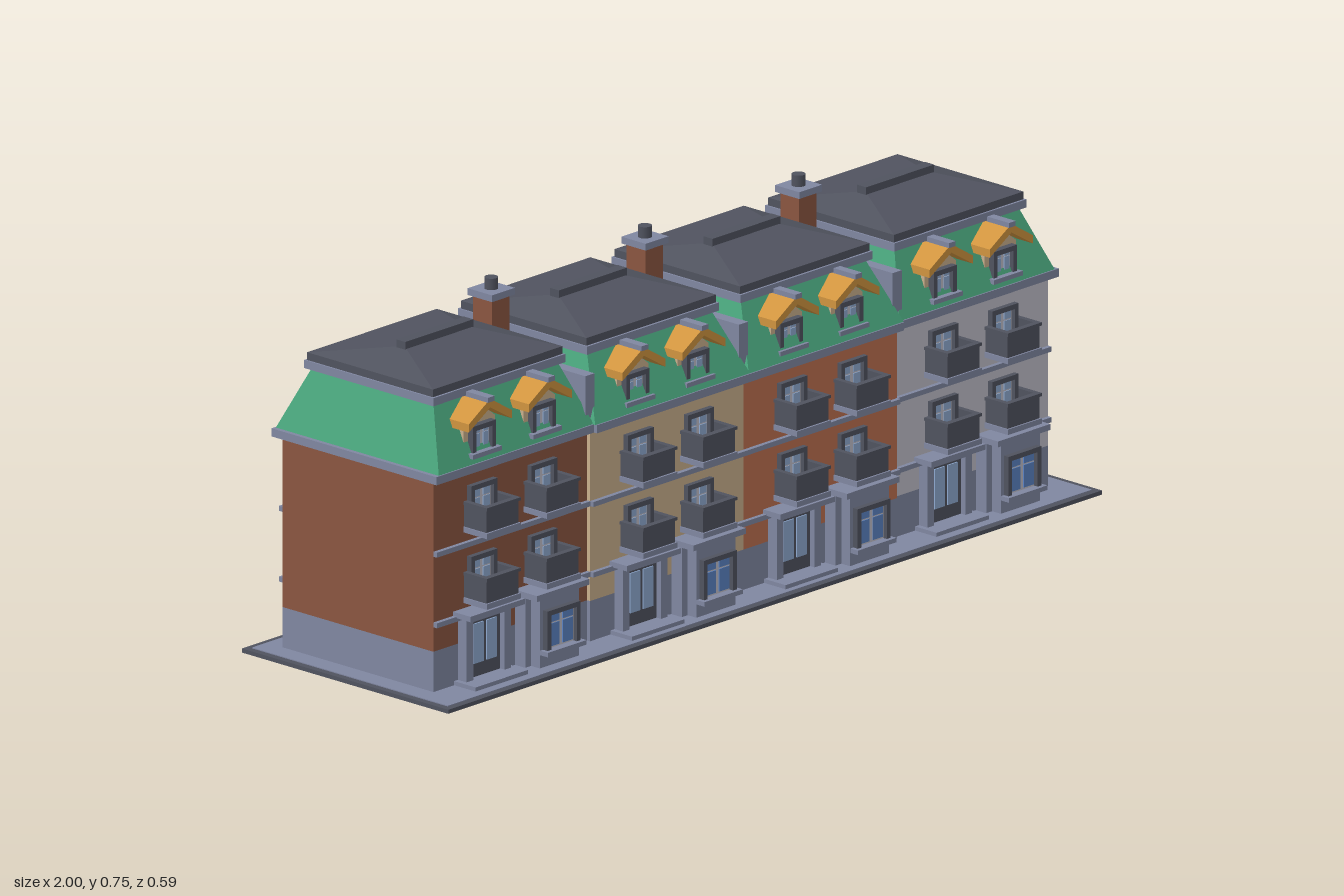
import * as THREE from 'three';

const mat = (name, color) => {
  const m = new THREE.MeshStandardMaterial({ color });
  m.name = name;
  return m;
};

export function createModel() {
  const slate = mat('slate stone', 0x8087a1);
  const dark = mat('dark grey', 0x50535f);
  const green = mat('copper green', 0x49a57c);
  const brown = mat('brown brick', 0x8b5641);
  const beige = mat('beige plaster', 0xcab08d);
  const brick = mat('orange brick', 0xbd6f50);
  const pale = mat('pale grey', 0xc0bfca);
  const wood = mat('orange wood', 0xd0943f);
  const glass = mat('light glass', 0x8ea9d0);
  const blue = mat('blue glass', 0x5a83c4);

  const model = new THREE.Group();
  model.name = 'terrace';

  const add = (parent, name, geometry, material) => {
    const mesh = new THREE.Mesh(geometry, material);
    mesh.name = name;
    parent.add(mesh);
    return mesh;
  };
  const group = (parent, name, x = 0, y = 0, z = 0) => {
    const g = new THREE.Group();
    g.name = name;
    g.position.set(x, y, z);
    parent.add(g);
    return g;
  };
  // Box given by its limits on each axis
  const box = (parent, name, material, x0, x1, y0, y1, z0, z1) => {
    const mesh = add(parent, name, new THREE.BoxGeometry(x1 - x0, y1 - y0, z1 - z0), material);
    mesh.position.set((x0 + x1) / 2, (y0 + y1) / 2, (z0 + z1) / 2);
    return mesh;
  };
  // Box whose top face shrinks to the half sizes tx, tz
  const taper = (parent, name, material, bx, bz, tx, tz, y0, y1) => {
    const geo = new THREE.BoxGeometry(2 * bx, y1 - y0, 2 * bz);
    const p = geo.attributes.position;
    for (let i = 0; i < p.count; i++) {
      if (p.getY(i) > 0) p.setXYZ(i, Math.sign(p.getX(i)) * tx, p.getY(i), Math.sign(p.getZ(i)) * tz);
    }
    geo.computeVertexNormals();
    const mesh = add(parent, name, geo, material);
    mesh.position.y = (y0 + y1) / 2;
    return mesh;
  };

  // Two-pane window standing on local z = 0 and facing +z
  const makeWindow = (parent, name, x, y, z, w, h, pane, sill = true) => {
    const g = group(parent, name, x, y, z);
    const b = 0.011;
    box(g, 'surroundHead', dark, -w / 2, w / 2, h - b, h, -0.004, 0.012);
    box(g, 'frame', pale, -w / 2 + b, w / 2 - b, 0, h - b, -0.004, 0.002);
    for (const s of [-1, 1]) {
      const e = s * (w / 2 - b / 2);
      box(g, 'surroundSide', dark, e - b / 2, e + b / 2, 0, h - b, -0.004, 0.012);
      const c = s * (w / 4 - b / 2 + 0.001);
      const pw = w / 4 - b / 2 - 0.004;
      box(g, 'lowerPane', pane, c - pw, c + pw, 0.004, h * 0.62, 0, 0.004);
      box(g, 'upperPane', pane, c - pw, c + pw, h * 0.66, h - b - 0.003, 0, 0.004);
    }
    if (sill) box(g, 'sill', slate, -w / 2 - 0.009, w / 2 + 0.009, -0.01, 0, -0.004, 0.021);
    return g;
  };

  // Balcony with solid front and side panels
  const makeBalcony = (parent, x, y, z) => {
    const g = group(parent, 'balcony', x, y, z);
    box(g, 'slab', slate, -0.052, 0.052, 0, 0.012, -0.004, 0.068);
    box(g, 'frontPanel', dark, -0.049, 0.049, 0.012, 0.061, 0.056, 0.064);
    box(g, 'frontRail', dark, -0.052, 0.052, 0.061, 0.068, 0.054, 0.068);
    for (const s of [-1, 1]) {
      box(g, 'sidePanel', dark, s * 0.045 - 0.004, s * 0.045 + 0.004, 0.012, 0.061, 0, 0.056);
      box(g, 'sideRail', dark, s * 0.046 - 0.006, s * 0.046 + 0.006, 0.061, 0.068, 0, 0.054);
    }
  };

  // Entrance with steps, glazed double door and canopy
  const makeDoor = (parent, x, z) => {
    const g = group(parent, 'entrance', x, 0, z);
    box(g, 'step', slate, -0.08, 0.08, 0.008, 0.02, -0.004, 0.062);
    box(g, 'doorLeaf', dark, -0.05, 0.05, 0.02, 0.148, -0.004, 0.012);
    for (const s of [-1, 1]) {
      box(g, 'doorGlass', glass, s * 0.02 - 0.015, s * 0.02 + 0.015, 0.05, 0.138, 0.011, 0.015);
      box(g, 'pilaster', slate, s * 0.058 - 0.01, s * 0.058 + 0.01, 0.018, 0.158, -0.004, 0.025);
    }
    box(g, 'lintel', slate, -0.068, 0.068, 0.148, 0.162, -0.004, 0.025);
    box(g, 'canopy', slate, -0.083, 0.083, 0.162, 0.174, -0.004, 0.05);
  };

  // Projecting ground-floor bay
  const makeBay = (parent, x, z) => {
    const g = group(parent, 'bay', x, 0, z);
    box(g, 'bayBody', slate, -0.06, 0.06, 0.008, 0.165, -0.004, 0.055);
    for (const s of [-1, 1]) box(g, 'bayPier', slate, s * 0.064 - 0.014, s * 0.064 + 0.014, 0.008, 0.165, -0.004, 0.03);
    box(g, 'bayCornice', slate, -0.08, 0.08, 0.165, 0.178, -0.004, 0.066);
    makeWindow(g, 'bayWindow', 0, 0.05, 0.056, 0.1, 0.087, blue);
  };

  // Gabled roof window
  const makeDormer = (parent, x) => {
    const g = group(parent, 'dormer', x, 0, 0);
    const wall = new THREE.Shape();
    wall.moveTo(-0.048, 0.505);
    wall.lineTo(0.048, 0.505);
    wall.lineTo(0.048, 0.577);
    wall.lineTo(0, 0.615);
    wall.lineTo(-0.048, 0.577);
    const body = add(g, 'dormerWall', new THREE.ExtrudeGeometry(wall, { depth: 0.09, bevelEnabled: false }), beige);
    body.position.z = 0.105;
    makeWindow(g, 'dormerWindow', 0, 0.515, 0.198, 0.07, 0.058, glass);
    for (const s of [-1, 1]) {
      const slope = new THREE.Shape();
      const pts = [[0, 0.612], [0.066, 0.572], [0.066, 0.59], [0, 0.631]].map(([px, py]) => new THREE.Vector2(s * px, py));
      slope.setFromPoints(pts);
      const roof = add(g, 'dormerRoof', new THREE.ExtrudeGeometry(slope, { depth: 0.117, bevelEnabled: false }), wood);
      roof.position.z = 0.11;
    }
    box(g, 'dormerRidge', slate, -0.01, 0.01, 0.625, 0.636, 0.13, 0.23);
  };

  // Pavement
  box(model, 'groundSlab', dark, -1, 1, 0, 0.009, -0.297, 0.297);
  box(model, 'pavement', slate, -0.985, 0.985, 0.004, 0.011, -0.282, 0.282);

  const houses = [
    { x: -0.705, wall: brown, out: 0 },
    { x: -0.235, wall: beige, out: 0.008 },
    { x: 0.235, wall: brick, out: 0.008 },
    { x: 0.705, wall: pale, out: 0 },
  ];
  for (const { x, wall, out } of houses) {
    const h = group(model, 'house', x);
    const zf = 0.198 + out;
    const zb = -0.237 - out;
    box(h, 'plinth', slate, -0.235, 0.235, 0.008, 0.1, zb, zf);
    box(h, 'walls', wall, -0.235, 0.235, 0.1, 0.478, zb, zf);
    for (const y of [0.154, 0.31]) {
      box(h, 'frontBand', slate, -0.235, 0.235, y, y + 0.011, zf - 0.004, zf + 0.01);
      box(h, 'backBand', slate, -0.235, 0.235, y, y + 0.011, zb - 0.01, zb + 0.004);
    }

    // Roof, centred on the depth of the walls
    const r = group(h, 'roof', 0, 0, (zf + zb) / 2);
    const hz = (zf - zb) / 2;
    const outer = Math.abs(x) > 0.5 ? 0.012 * Math.sign(x) : 0;
    box(r, 'eaves', slate, -0.235 + Math.min(outer, 0), 0.235 + Math.max(outer, 0), 0.475, 0.493, -hz - 0.02, hz + 0.02);
    taper(r, 'mansard', green, 0.237, hz + 0.017, 0.19, 0.175, 0.493, 0.627);
    box(r, 'upperCornice', slate, -0.202, 0.202, 0.627, 0.645, -0.186, 0.186);
    box(r, 'roofEdge', dark, -0.198, 0.198, 0.645, 0.662, -0.181, 0.181);
    taper(r, 'hippedTop', dark, 0.198, 0.181, 0.1, 0.012, 0.662, 0.69);
    box(r, 'ridgeCap', dark, -0.104, 0.104, 0.68, 0.706, -0.013, 0.013);

    // Front openings
    makeDoor(h, -0.092, zf);
    makeBay(h, 0.092, zf);
    const back = group(h, 'backFacade', 0, 0, zb);
    back.rotation.y = Math.PI;
    for (const dx of [-0.092, 0.092]) {
      for (const y of [0.186, 0.342]) {
        makeBalcony(h, dx, y, zf);
        makeWindow(h, 'balconyWindow', dx, y + 0.012, zf, 0.08, 0.089, glass, false);
      }
      makeDormer(h, dx);
      for (const y of [0.045, 0.2, 0.356]) makeWindow(back, 'backWindow', dx, y, 0, 0.082, 0.087, blue);
    }
  }

  // Party walls with chimneys between the roofs
  for (const x of [-0.47, 0, 0.47]) {
    const c = group(model, 'chimneyStack', x, 0, -0.078);
    box(c, 'partyWall', slate, -0.014, 0.014, 0.475, 0.6, -0.176, 0.284);
    box(c, 'chimney', brown, -0.027, 0.027, 0.595, 0.712, -0.027, 0.027);
    box(c, 'chimneyCap', slate, -0.035, 0.035, 0.712, 0.727, -0.035, 0.035);
    const pot = add(c, 'chimneyPot', new THREE.CylinderGeometry(0.015, 0.015, 0.026, 12), dark);
    pot.position.y = 0.739;
  }
  return model;
}
